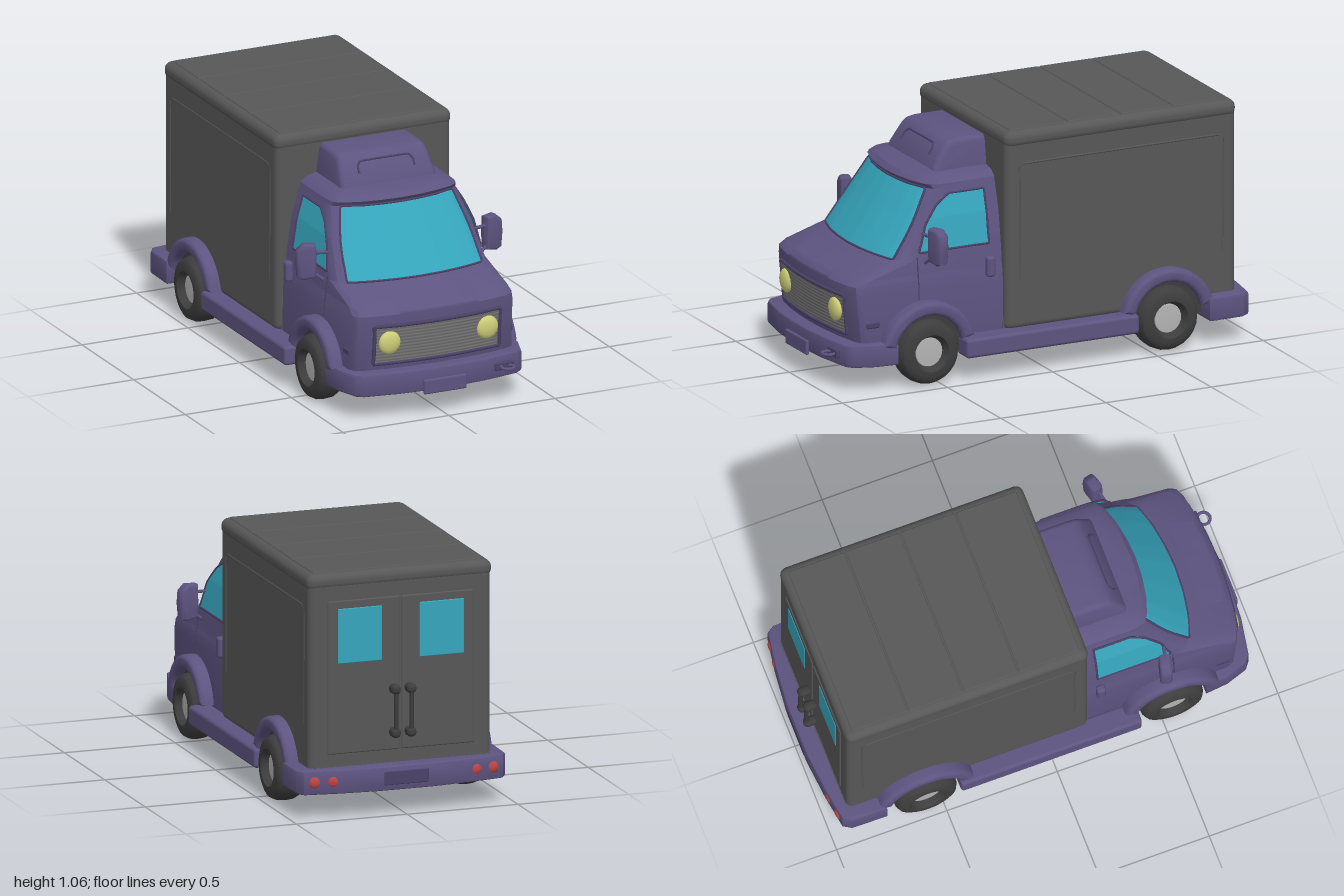
import * as THREE from 'three';
import { toCreasedNormals } from 'three/addons/utils/BufferGeometryUtils.js';
import { RoundedBoxGeometry } from 'three/addons/geometries/RoundedBoxGeometry.js';
import { ParametricGeometry } from 'three/addons/geometries/ParametricGeometry.js';

const mat = (color, side = THREE.FrontSide) => new THREE.MeshStandardMaterial({ color, side });
const purple = mat(0x5d5480, THREE.DoubleSide), cargoGrey = mat(0x575757), dark = mat(0x3d3d3d);
const trim = mat(0x4a4268), glass = mat(0x36a6bd, THREE.DoubleSide), yellow = mat(0xcfcf7a);
const red = mat(0xc04545), hubGrey = mat(0xb4b4b4), grilleGrey = mat(0x737373, THREE.DoubleSide);
const V = (x, y, z) => new THREE.Vector3(x, y, z);
const lerp = THREE.MathUtils.lerp;

// Piecewise-linear lookup in rows sorted by their first entry
function lookup(rows, t) {
  let i = 0;
  while (i < rows.length - 2 && t > rows[i + 1][0]) i++;
  const a = rows[i], b = rows[i + 1];
  const k = THREE.MathUtils.clamp((t - a[0]) / (b[0] - a[0]), 0, 1);
  return a.map((v, n) => lerp(v, b[n], k));
}

// Cab levels: height, half width, front z, bow of the front
const levels = [
  [0.13, 0, 0.19, 0], [0.14, 0.38, 0.88, 0.06], [0.2, 0.385, 0.895, 0.05], [0.42, 0.38, 0.915, 0.05],
  [0.455, 0.375, 0.915, 0.05], [0.478, 0.37, 0.895, 0.06], [0.54, 0.365, 0.72, 0.08],
  [0.7, 0.34, 0.611, 0.08], [0.82, 0.305, 0.53, 0.07], [0.84, 0.3, 0.545, 0.07],
  [0.862, 0.275, 0.525, 0.07], [0.875, 0.22, 0.46, 0.06], [0.878, 0, 0.19, 0],
];
// Half of a cab cross-section: fraction of width, fraction of bow
const section = [[0, 0], [0.3, 0.08], [0.6, 0.3], [0.85, 0.65], [0.96, 1], [1, 1.6]];

function frontPoint(x, y, off) {
  const [, w, zf, bow] = lookup(levels, y);
  return V(x, y + off * 0.5, zf - bow * lookup(section, Math.abs(x) / w)[1] + off);
}
const sideX = y => lookup(levels, y)[1];

export function createModel() {
  const root = new THREE.Group();
  const add = (name, geo, material, x = 0, y = 0, z = 0, parent = root) => {
    const m = new THREE.Mesh(geo, material);
    m.name = name;
    m.position.set(x, y, z);
    parent.add(m);
    return m;
  };
  const rbox = (w, h, d, r = 0.01) => new RoundedBoxGeometry(w, h, d, 3, r);
  const tube = (name, pts, r, material, closed = false) => {
    const curve = new THREE.CatmullRomCurve3(pts, closed, 'catmullrom', 0.15);
    return add(name, new THREE.TubeGeometry(curve, pts.length * 8, r, 6, closed), material);
  };
  // Curved panel given by fn(u, v), with an optional rim around its border
  const panel = (name, fn, material, rim = 0, slices = 16, stacks = 10) => {
    add(name, new ParametricGeometry((u, v, t) => t.copy(fn(u, v)), slices, stacks), material);
    if (!rim) return;
    const pts = [], n = 6;
    for (const [a, b] of [[[0, 0], [1, 0]], [[1, 0], [1, 1]], [[1, 1], [0, 1]], [[0, 1], [0, 0]]])
      for (let i = 0; i < n; i++) pts.push(fn(lerp(a[0], b[0], i / n), lerp(a[1], b[1], i / n)));
    tube(name + 'Rim', pts, rim, trim, true);
  };
  const frontPanel = (y0, y1, h0, h1, off, bulge = 0) => (u, v) =>
    frontPoint((u * 2 - 1) * (lerp(h0, h1, v) + bulge * Math.sin(v * Math.PI)), lerp(y0, y1, v), off);

  // Cab shell lofted through the levels
  const half = section.map(p => [...p, 0]).concat([[1, 0, 1]]);
  const ring = [...half.slice(1).reverse().map(p => [-p[0], p[1], p[2]]), ...half];
  const shell = new ParametricGeometry((u, v, t) => {
    const [y, w, zf, bow] = levels[Math.round(v * (levels.length - 1))];
    const [fx, fb, back] = ring[Math.round(u * (ring.length - 1))];
    t.set(fx * w, y, back ? 0.17 : zf - bow * fb);
  }, ring.length - 1, levels.length - 1);
  add('cabShell', toCreasedNormals(shell, 0.6), purple);

  // Windscreen, hood bulge and grille
  panel('windscreen', frontPanel(0.541, 0.818, 0.315, 0.262, 0.004, 0.012), glass, 0.005);
  panel('hoodBulge', frontPanel(0.445, 0.522, 0.18, 0.205, 0.006), purple, 0, 12, 8);
  panel('grille', (u, v) => frontPoint((u * 2 - 1) * 0.295, lerp(0.235, 0.405, v),
    0.004 + 0.0006 * Math.sin(v * 75)), grilleGrey, 0.008, 16, 64);

  // Roof pod with a sloping nose, narrowing upward
  const podShape = new THREE.Shape([[0.16, 0.85], [0.42, 0.85], [0.41, 0.89], [0.36, 0.965], [0.34, 0.983],
    [0.305, 0.99], [0.16, 0.99]].map(p => new THREE.Vector2(-p[0], p[1])));
  const podGeo = new THREE.ExtrudeGeometry(podShape,
    { depth: 0.39, bevelThickness: 0.025, bevelSize: 0.025, bevelOffset: -0.015, bevelSegments: 4 });
  podGeo.translate(0, 0, -0.195).rotateY(Math.PI / 2);
  const pp = podGeo.attributes.position;
  for (let i = 0; i < pp.count; i++) pp.setX(i, pp.getX(i) * (1.03 - (pp.getY(i) - 0.86) * 0.6));
  add('roofPod', toCreasedNormals(podGeo, 0.7), purple);
  tube('podTrim', [V(-0.13, 0.92, 0.402), V(-0.13, 0.945, 0.385), V(-0.11, 0.965, 0.371),
    V(0.11, 0.965, 0.371), V(0.13, 0.945, 0.385), V(0.13, 0.92, 0.402)], 0.005, trim);

  // Cargo box with a panelled roof cap
  add('cargoBox', rbox(0.824, 0.85, 1.094, 0.03), cargoGrey, 0, 0.605, -0.37);
  add('roofCap', rbox(0.836, 0.075, 1.1, 0.034), cargoGrey, 0, 1.0225, -0.37);
  const joints = [0.15, -0.13, -0.38, -0.63, -0.89];
  for (let i = 0; i < 4; i++)
    add('roofPanel', rbox(0.77, 0.02, joints[i] - joints[i + 1] - 0.006, 0.006), cargoGrey,
      0, 1.055, (joints[i] + joints[i + 1]) / 2);
  add('underbody', new THREE.BoxGeometry(0.78, 0.06, 1.1), cargoGrey, 0, 0.19, -0.37);

  // Bumpers extruded from their plan outline
  const bumper = (name, outline, y, h) => {
    const pts = [...outline, ...outline.slice().reverse().map(([x, z]) => [-x, z])];
    const g = new THREE.ExtrudeGeometry(new THREE.Shape(pts.map(p => new THREE.Vector2(...p))),
      { depth: h - 0.024, bevelThickness: 0.012, bevelSize: 0.01, bevelOffset: -0.01, bevelSegments: 2 });
    add(name, toCreasedNormals(g.rotateX(Math.PI / 2), 0.6), purple, 0, y - 0.012, 0);
  };
  bumper('frontBumper', [[0.435, 0.7], [0.425, 0.8], [0.393, 0.895], [0.36, 0.92], [0.2, 0.948], [0.07, 0.957]], 0.21, 0.1);
  bumper('rearBumper', [[0.475, -0.76], [0.472, -0.92], [0.45, -0.955], [0.3, -0.978], [0.12, -0.995]], 0.215, 0.105);
  add('frontPlate', rbox(0.2, 0.065, 0.016, 0.007), purple, 0, 0.132, 0.962);
  add('rearPlate', rbox(0.2, 0.06, 0.01, 0.004), trim, 0, 0.165, -0.993);
  add('towHookMount', rbox(0.09, 0.036, 0.02, 0.006), trim, 0.29, 0.163, 0.935);
  add('towHook', new THREE.TorusGeometry(0.028, 0.007, 8, 20).rotateX(Math.PI / 2), purple, 0.295, 0.163, 0.963);

  // Wheels, wells and arches
  const wheel = (x, z, s, width) => {
    const g = new THREE.Group(), h = width / 2;
    g.name = 'wheel';
    g.position.set(x * s, 0.145, z);
    if (s < 0) g.rotation.y = Math.PI;
    root.add(g);
    const lathe = (pts) => toCreasedNormals(
      new THREE.LatheGeometry(pts.map(p => new THREE.Vector2(...p)), 24).rotateZ(-Math.PI / 2), 0.7);
    add('tyre', lathe([[0.001, -h], [0.105, -h], [0.128, -h * 0.85], [0.14, -h * 0.5], [0.143, 0], [0.14, h * 0.5],
      [0.128, h * 0.85], [0.105, h], [0.082, h], [0.064, h * 0.5]]), dark, 0, 0, 0, g);
    add('hub', lathe([[0.066, h * 0.4], [0.062, h * 0.55], [0.001, h * 0.6]]), hubGrey, 0, 0, 0, g);
  };
  const archShape = new THREE.Shape();
  archShape.absarc(0, 0, 0.216, 0.25, Math.PI - 0.25, false);
  archShape.absarc(0, 0, 0.165, Math.PI - 0.25, 0.25, true);
  const archGeo = toCreasedNormals(new THREE.ExtrudeGeometry(archShape, { depth: 0.06, curveSegments: 20,
    bevelThickness: 0.022, bevelSize: 0.018, bevelOffset: -0.014, bevelSegments: 3 })
    .translate(0, 0, -0.03).rotateY(Math.PI / 2), 0.6);
  const wellGeo = new THREE.CylinderGeometry(0.17, 0.17, 0.06, 24, 1, false, 0, Math.PI).rotateZ(Math.PI / 2);

  for (const s of [1, -1]) {
    wheel(0.392, 0.55, s, 0.125);
    wheel(0.41, -0.575, s, 0.135);
    for (const [x, z] of [[0.39, 0.55], [0.415, -0.575]]) {
      add('wheelArch', archGeo, purple, x * s, 0.145, z);
      add('wheelWell', wellGeo, dark, (x - 0.02) * s, 0.145, z);
    }
    add('sideSkirt', rbox(0.1, 0.085, 0.82, 0.015), purple, 0.43 * s, 0.148, -0.015);
    add('headlight', new THREE.SphereGeometry(0.052, 12, 10).scale(1, 1, 0.4), yellow, 0.23 * s, 0.333, 0.898);

    // Side window, door seam, handle and marker
    const windowFront = [[0.57, 0.565], [0.69, 0.525], [0.76, 0.465], [0.785, 0.435], [0.8, 0.4]];
    panel('sideWindow', (u, v) => {
      const y = lerp(0.57, 0.8, v);
      return V(s * (sideX(y) + 0.003), y, lerp(0.235, lookup(windowFront, y)[1], u));
    }, glass, 0.005, 8, 16);
    tube('doorSeam', [0.55, 0.5, 0.45, 0.37].map(y => V(s * sideX(y), y, 0.575)), 0.003, trim);
    add('doorHandle', rbox(0.035, 0.09, 0.04, 0.012), purple, 0.388 * s, 0.473, 0.24);
    add('sideMarker', rbox(0.02, 0.026, 0.06, 0.006), trim, 0.378 * s, 0.285, 0.795);

    // Wing mirror on two arms
    const mirrorShape = new THREE.Shape([[0.408, 0.675], [0.445, 0.678], [0.468, 0.658], [0.472, 0.61],
      [0.466, 0.548], [0.45, 0.542], [0.41, 0.55], [0.406, 0.6]].map(([x, y]) => new THREE.Vector2(x * s, y)));
    const mirrorGeo = new THREE.ExtrudeGeometry(mirrorShape,
      { depth: 0.022, bevelThickness: 0.015, bevelSize: 0.012, bevelSegments: 3 });
    mirrorGeo.translate(-0.435 * s, -0.61, -0.011).rotateY(0.25 * s);
    add('mirror', toCreasedNormals(mirrorGeo, 0.8), purple, 0.435 * s, 0.61, 0.515);
    tube('mirrorArm', [V(0.34 * s, 0.645, 0.54), V(0.44 * s, 0.648, 0.52)], 0.008, purple);
    tube('mirrorArm', [V(0.36 * s, 0.52, 0.54), V(0.44 * s, 0.58, 0.52)], 0.008, purple);

    // Line around the cargo side
    tube('cargoSideLine', [[0.11, 0.4], [0.112, 0.89], [0.09, 0.915], [-0.83, 0.915], [-0.852, 0.89], [-0.85, 0.4]]
      .map(([z, y]) => V(0.41 * s, y, z)), 0.005, cargoGrey);

    // Rear door leaf, window, handle and lights
    add('rearDoor', rbox(0.325, 0.67, 0.02, 0.006), cargoGrey, 0.167 * s, 0.605, -0.912);
    add('rearWindow', rbox(0.2, 0.24, 0.01, 0.004), glass, 0.185 * s, 0.785, -0.92);
    tube('rearHandle', [V(0.035 * s, 0.35, -0.91), V(0.035 * s, 0.35, -0.96), V(0.035 * s, 0.54, -0.96),
      V(0.035 * s, 0.54, -0.91)], 0.01, dark);
    for (const y of [0.35, 0.54]) add('handleMount', rbox(0.042, 0.042, 0.06, 0.018), dark, 0.035 * s, y, -0.945);
    for (const [x, z] of [[0.32, -0.963], [0.4, -0.953]])
      add('tailLight', new THREE.SphereGeometry(0.03, 12, 8).scale(1, 1, 0.6), red, x * s, 0.165, z);
  }
  return root;
}
